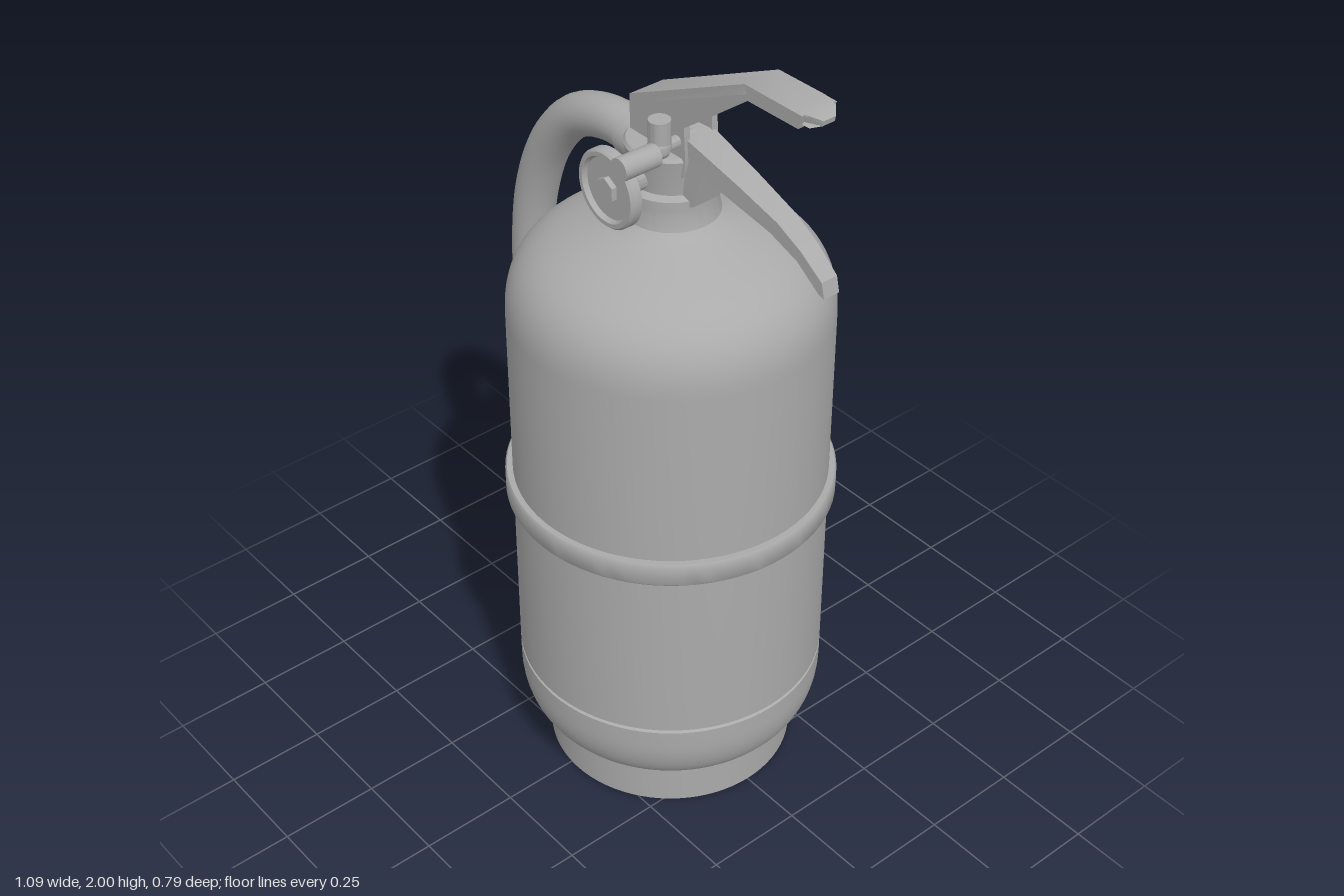
import * as THREE from 'three';
import { toCreasedNormals } from 'three/addons/utils/BufferGeometryUtils.js';

const CX = 0.03; // axis of the tank

export function createModel() {
  const model = new THREE.Group();
  model.name = 'fireExtinguisher';
  const grey = new THREE.MeshStandardMaterial({ color: 0xaaaaaa });
  grey.name = 'grey';

  const add = (name, geometry, x = 0, y = 0, z = 0, crease = 0.6) => {
    const mesh = new THREE.Mesh(toCreasedNormals(geometry, crease), grey);
    mesh.name = name;
    mesh.position.set(x, y, z);
    model.add(mesh);
    return mesh;
  };
  const vectors = (pairs) => pairs.map(([x, y]) => new THREE.Vector2(x, y));
  const lathe = (pairs, segments = 64) => new THREE.LatheGeometry(vectors(pairs), segments);
  // Side profile extruded to a full width w, centred on z
  const slab = (pairs, w) =>
    new THREE.ExtrudeGeometry(new THREE.Shape(vectors(pairs)), { depth: w, bevelEnabled: false }).translate(0, 0, -w / 2);
  // Narrows a geometry in z by a factor depending on x
  const taper = (geometry, factor) => {
    const p = geometry.attributes.position;
    for (let i = 0; i < p.count; i++) p.setZ(i, p.getZ(i) * factor(p.getX(i)));
    return geometry;
  };

  // Tank: foot ring, rounded bottom, seam groove, wall and domed shoulder
  const bottom = new THREE.CubicBezierCurve(...vectors([[0.308, 0.118], [0.35, 0.13], [0.378, 0.19], [0.378, 0.26]]));
  const shoulder = new THREE.CubicBezierCurve(...vectors([[0.378, 1.3], [0.378, 1.47], [0.25, 1.49], [0.13, 1.545]]));
  const tankProfile = [
    [0, 0], [0.302, 0], [0.308, 0.006],
    ...bottom.getPoints(10).map((p) => [p.x, p.y]),
    [0.378, 0.305], [0.371, 0.308], [0.371, 0.312], [0.378, 0.315],
    ...shoulder.getPoints(18).map((p) => [p.x, p.y]),
    [0.112, 1.56], [0.105, 1.59], [0.105, 1.61],
  ];
  add('tank', lathe(tankProfile, 80), CX);

  // Valve body on the neck
  add('valveBody', lathe([
    [0.1, 1.58], [0.104, 1.608], [0.112, 1.612], [0.112, 1.636], [0.092, 1.642],
    [0.096, 1.68], [0.106, 1.73], [0.1, 1.738], [0, 1.738],
  ], 40), CX);

  // Strap around the tank, with a bridge to the hose clamp
  add('strap', lathe([[0.372, 0.79], [0.392, 0.79], [0.396, 0.796], [0.396, 0.846], [0.392, 0.852], [0.372, 0.852]], 80), CX);
  const bridge = slab([
    [-0.42, -0.066], [-0.385, -0.06], [-0.36, -0.075], [-0.335, -0.12], [-0.305, -0.175],
    [-0.305, 0.175], [-0.335, 0.12], [-0.36, 0.075], [-0.385, 0.06], [-0.42, 0.066],
  ], 0.062).rotateX(-Math.PI / 2);
  add('strapBridge', bridge, 0, 0.821, 0);
  add('hoseClamp', new THREE.CylinderGeometry(0.077, 0.077, 0.066, 16), -0.455, 0.821, 0);

  // Hose from the valve down to the clamp
  const hosePath = new THREE.CatmullRomCurve3([
    [-0.04, 1.69], [-0.18, 1.69], [-0.3, 1.645], [-0.4, 1.535], [-0.465, 1.38],
    [-0.491, 1.2], [-0.485, 1.02], [-0.468, 0.87], [-0.457, 0.76],
  ].map(([x, y]) => new THREE.Vector3(x, y, 0)));
  add('hose', new THREE.TubeGeometry(hosePath, 64, 0.052, 24), 0, 0, 0, 1);
  const collar = new THREE.CylinderGeometry(0.057, 0.057, 0.05, 24).rotateZ(Math.PI / 2);
  add('hoseCollar', collar, -0.08, 1.69, 0);

  // Flared nozzle, hollow at the mouth
  const nozzle = add('nozzle', lathe([
    [0, 0.12], [0.055, 0.03], [0.062, 0], [0.072, 0], [0.07, 0.03],
    [0.052, 0.3], [0.049, 0.36], [0.052, 0.47], [0, 0.47],
  ], 28), -0.446, 0.32, 0);
  nozzle.rotation.z = 0.02;

  // Carrying handle: a channel with a top plate and two side walls
  const tip = (x) => (x > 0.505 ? 0.35 : x > 0.485 ? 0.75 : 1);
  add('handleTop', taper(slab([
    [-0.055, 1.69], [-0.055, 1.822], [0.31, 1.999], [0.45, 2], [0.49, 1.999], [0.51, 1.99],
    [0.508, 1.978], [0.49, 1.972], [0.45, 1.98], [0.318, 1.979], [-0.035, 1.808], [-0.035, 1.69],
  ], 0.094), tip));
  for (const side of [-1, 1]) {
    add('handleSide', slab([
      [-0.055, 1.69], [-0.055, 1.822], [0.31, 1.999], [0.48, 1.999], [0.47, 1.966],
      [0.32, 1.965], [0.125, 1.815], [0.13, 1.73], [0.12, 1.69],
    ], 0.016), 0, 0, side * 0.039);
  }

  // Squeeze lever, tapering towards its tip
  add('squeezeLever', taper(slab([
    [0.03, 1.78], [0.12, 1.785], [0.28, 1.742], [0.4, 1.705], [0.47, 1.668], [0.532, 1.622], [0.541, 1.585],
    [0.525, 1.59], [0.46, 1.64], [0.38, 1.672], [0.27, 1.695], [0.17, 1.715], [0.145, 1.625], [0.12, 1.615], [0.06, 1.7],
  ], 0.08), (x) => (x > 0.1 ? 1 - 1.05 * (x - 0.1) : 1)));

  // Pressure gauge: stem, dished dial with a raised rim, centre nut
  const facing = (geometry) => geometry.rotateX(Math.PI / 2);
  add('gaugeStem', facing(new THREE.CylinderGeometry(0.032, 0.032, 0.13, 20)), 0.025, 1.67, 0.1);
  add('gaugeDial', facing(lathe([
    [0, 0], [0.085, 0], [0.093, 0.006], [0.093, 0.028], [0.088, 0.034], [0.078, 0.034], [0.073, 0.022], [0, 0.022],
  ], 40)), 0.025, 1.67, 0.15);
  add('gaugeNut', facing(new THREE.CylinderGeometry(0.03, 0.032, 0.03, 6)), 0.025, 1.67, 0.17);

  // Safety pin: shank through the handle, upright stub and grip
  add('pinShank', facing(new THREE.CylinderGeometry(0.014, 0.014, 0.14, 12)), 0.103, 1.775, 0.07);
  add('pinStub', new THREE.CylinderGeometry(0.025, 0.025, 0.065, 16), 0.101, 1.812, 0.094);
  add('pinElbow', new THREE.SphereGeometry(0.027, 16, 12), 0.102, 1.778, 0.096);
  add('pinGrip', facing(new THREE.CylinderGeometry(0.027, 0.027, 0.098, 16)), 0.111, 1.771, 0.165);

  return model;
}
